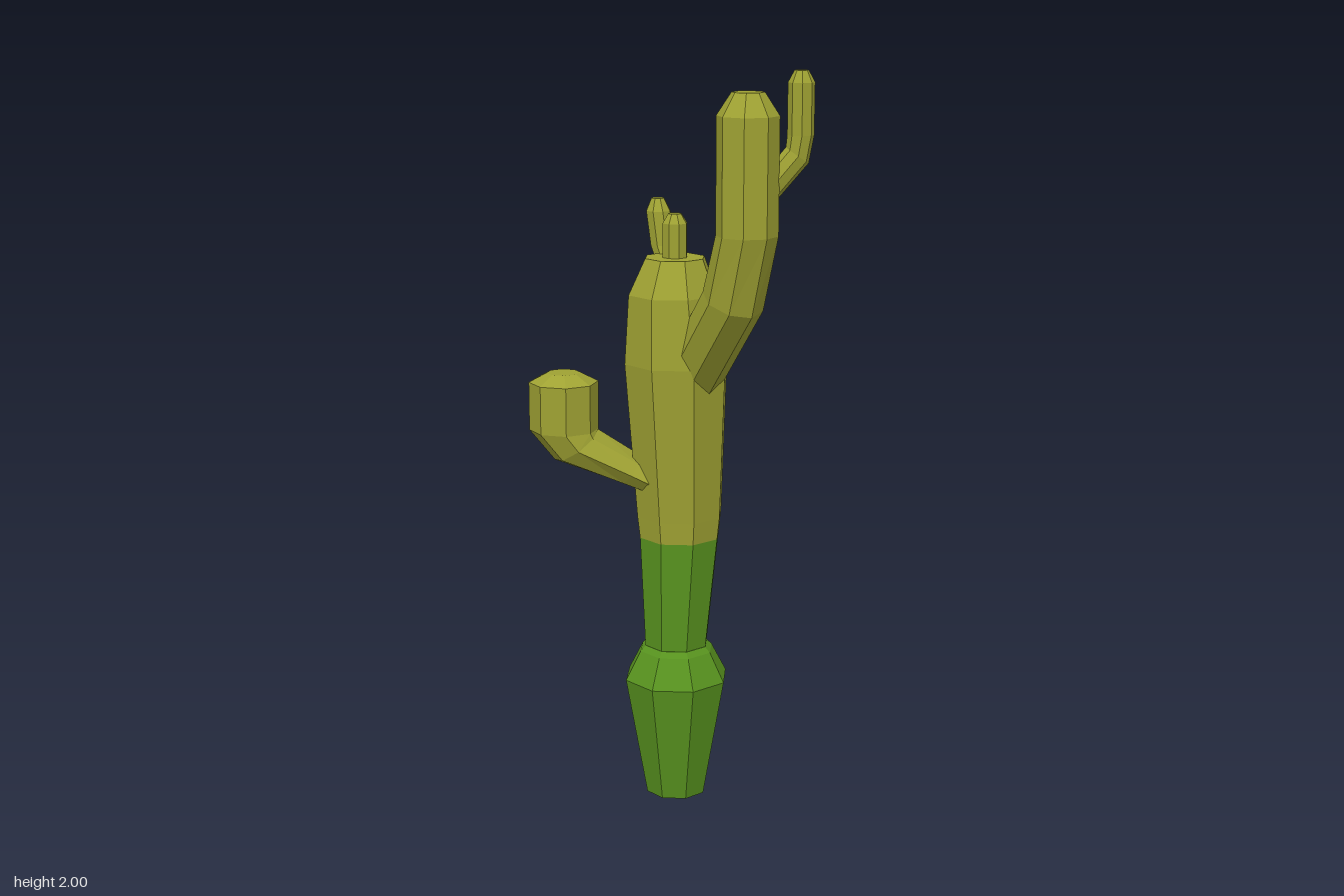
import * as THREE from 'three';

const green = new THREE.MeshStandardMaterial({ color: 0x58931f, flatShading: true });
green.name = 'green';
const olive = new THREE.MeshStandardMaterial({ color: 0x9fa233, flatShading: true });
olive.name = 'olive';

// Eight-sided limb bending in the vertical plane that faces `degrees` (from +x towards +z).
// Rings run from root to tip: [x, y, z, outward reach, rise of the outer edge, half width]
function limb(name, material, degrees, rings) {
  const sides = 8;
  const a = THREE.MathUtils.degToRad(degrees);
  const d = new THREE.Vector3(Math.cos(a), 0, Math.sin(a));
  const w = new THREE.Vector3(0, 1, 0).cross(d);
  const loops = rings.map(([x, y, z, reach, rise, half]) => {
    const loop = [];
    for (let i = 0; i < sides; i++) {
      const t = (i / sides) * Math.PI * 2;
      const p = new THREE.Vector3(x, y, z);
      p.addScaledVector(d, reach * Math.cos(t)).addScaledVector(w, half * Math.sin(t));
      p.y += rise * Math.cos(t);
      loop.push(p);
    }
    return loop;
  });
  const points = [];
  for (let k = 0; k < loops.length - 1; k++) {
    for (let i = 0; i < sides; i++) {
      const j = (i + 1) % sides;
      const [lo, hi] = [loops[k], loops[k + 1]];
      points.push(lo[i], lo[j], hi[j], lo[i], hi[j], hi[i]);
    }
  }
  // close both ends
  const first = loops[0], last = loops[loops.length - 1];
  for (let i = 1; i < sides - 1; i++) {
    points.push(first[0], first[i + 1], first[i]);
    points.push(last[0], last[i], last[i + 1]);
  }
  const geometry = new THREE.BufferGeometry().setFromPoints(points);
  geometry.computeVertexNormals();
  const mesh = new THREE.Mesh(geometry, material);
  mesh.name = name;
  return mesh;
}

// Level round ring
const ring = (x, y, z, r) => [x, y, z, r, 0, r];

export function createModel() {
  const cactus = new THREE.Group();
  cactus.name = 'cactus';
  const turn = -12;

  cactus.add(
    // swollen base and main stem
    limb('base', green, turn, [
      ring(0.036, 0, -0.09, 0.084),
      ring(0.036, 0.335, -0.09, 0.145),
      ring(0.036, 0.415, -0.09, 0.103),
      ring(0.036, 0.43, -0.09, 0.088),
    ]),
    limb('lowerStem', green, turn, [
      ring(0.036, 0.42, -0.092, 0.088),
      ring(0.047, 0.735, -0.107, 0.113),
    ]),
    limb('upperStem', olive, turn, [
      ring(0.047, 0.735, -0.107, 0.113),
      ring(0.047, 0.795, -0.109, 0.12),
      ring(0.036, 1.22, -0.096, 0.144),
      ring(0.026, 1.405, -0.088, 0.123),
      ring(0.031, 1.5, -0.09, 0.082),
    ]),

    // short fat arm on the model's right
    limb('rightArm', olive, 180, [
      [0.05, 0.85, -0.12, -0.005, -0.032, 0.09],
      [-0.09, 0.922, -0.12, 0.028, -0.037, 0.091],
      [-0.232, 0.992, -0.122, 0.058, -0.041, 0.093],
      ring(-0.264, 1.035, -0.122, 0.093),
      ring(-0.264, 1.165, -0.122, 0.093),
      ring(-0.264, 1.19, -0.122, 0.045),
    ]),

    // tall arm reaching forward on the model's left
    limb('leftArm', olive, 60, [
      [0.064, 1.155, -0.078, 0.061, -0.05, 0.078],
      [0.158, 1.415, 0.11, 0.078, -0.032, 0.078],
      ring(0.186, 1.59, 0.156, 0.08),
      ring(0.186, 1.89, 0.156, 0.08),
      ring(0.186, 1.948, 0.156, 0.042),
    ]),
    limb('leftArmShoot', olive, 5, [
      [0.21, 1.67, 0.148, 0.024, -0.024, 0.032],
      [0.312, 1.79, 0.15, 0.029, -0.02, 0.033],
      ring(0.32, 1.84, 0.15, 0.034),
      ring(0.32, 1.97, 0.15, 0.034),
      ring(0.32, 2.0, 0.15, 0.018),
    ]),

    // little shoots at the crown
    limb('topShoot', olive, turn, [
      ring(0.031, 1.48, -0.092, 0.034),
      ring(0.031, 1.59, -0.092, 0.034),
      ring(0.031, 1.615, -0.092, 0.018),
    ]),
    limb('backShoot', olive, 210, [
      ring(0.045, 1.39, -0.145, 0.032),
      ring(0.008, 1.52, -0.183, 0.033),
      ring(-0.002, 1.61, -0.192, 0.034),
      ring(-0.003, 1.643, -0.195, 0.018),
    ]),
  );
  return cactus;
}
